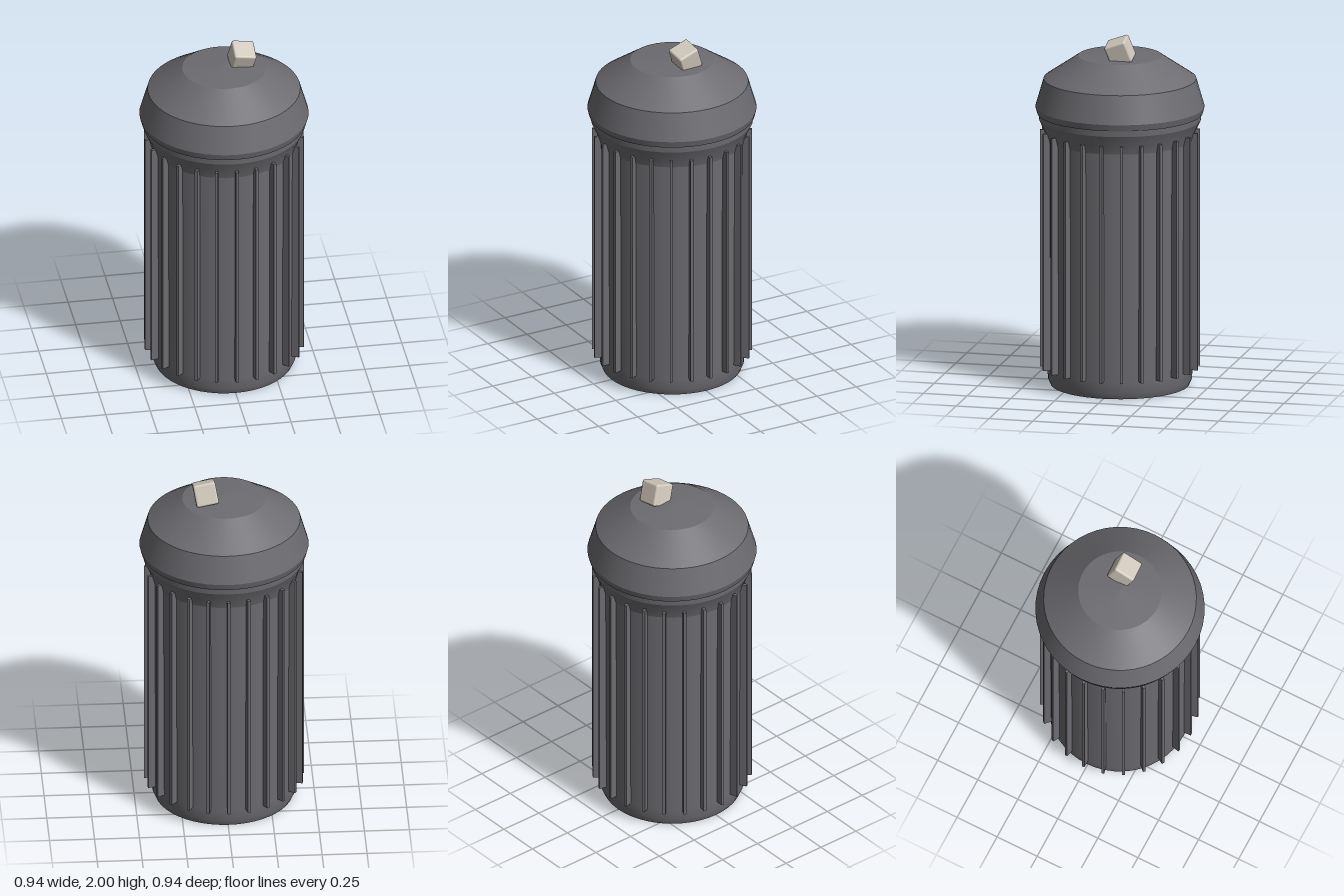
import * as THREE from 'three';
import { RoundedBoxGeometry } from 'three/addons/geometries/RoundedBoxGeometry.js';
import { mergeGeometries } from 'three/addons/utils/BufferGeometryUtils.js';

const SIDES = 48;

// Each band is smooth inside and meets its neighbours at a sharp edge.
function turned(name, bands, material) {
  const parts = bands.map((band) =>
    new THREE.LatheGeometry(band.map(([r, y]) => new THREE.Vector2(r, y)), SIDES));
  const mesh = new THREE.Mesh(mergeGeometries(parts), material);
  mesh.name = name;
  return mesh;
}

export function createModel() {
  const greyMetal = new THREE.MeshStandardMaterial({ color: 0x6c6c71 });
  greyMetal.name = 'grey metal';
  const paleStone = new THREE.MeshStandardMaterial({ color: 0xd2cabe });
  paleStone.name = 'pale stone';

  const model = new THREE.Group();
  model.name = 'dustbin';

  // Can: base, wall and flared neck
  model.add(turned('can', [
    [[0, 0], [0.385, 0]],
    [[0.385, 0], [0.4, 0.035], [0.403, 0.1], [0.408, 1.4]],
    [[0.408, 1.4], [0.422, 1.45], [0.45, 1.51]],
    [[0.45, 1.51], [0.452, 1.55]],
  ], greyMetal));

  // Lid: underside, lip, skirt, slope and shallow crown
  model.add(turned('lid', [
    [[0, 1.545], [0.46, 1.545]],
    [[0.46, 1.545], [0.47, 1.582]],
    [[0.47, 1.582], [0.424, 1.74]],
    [[0.424, 1.74], [0.232, 1.87]],
    [[0.232, 1.87], [0, 1.887]],
  ], greyMetal));

  // Upright ribs around the wall
  const ribs = new THREE.Group();
  ribs.name = 'ribs';
  const ribGeometry = new THREE.BoxGeometry(0.016, 1.35, 0.05);
  for (let i = 0; i < 24; i++) {
    const angle = (i / 24) * Math.PI * 2;
    const rib = new THREE.Mesh(ribGeometry, greyMetal);
    rib.name = 'rib';
    rib.position.set(Math.sin(angle) * 0.42, 0.775, Math.cos(angle) * 0.42);
    rib.rotation.y = angle;
    ribs.add(rib);
  }
  model.add(ribs);

  // Tilted block resting on the lid
  const block = new THREE.Mesh(new RoundedBoxGeometry(0.126, 0.126, 0.126, 3, 0.012), paleStone);
  block.name = 'block';
  block.position.set(0.105, 1.92, -0.026);
  block.rotation.set(0.35, 0, -0.17);
  model.add(block);

  return model;
}
